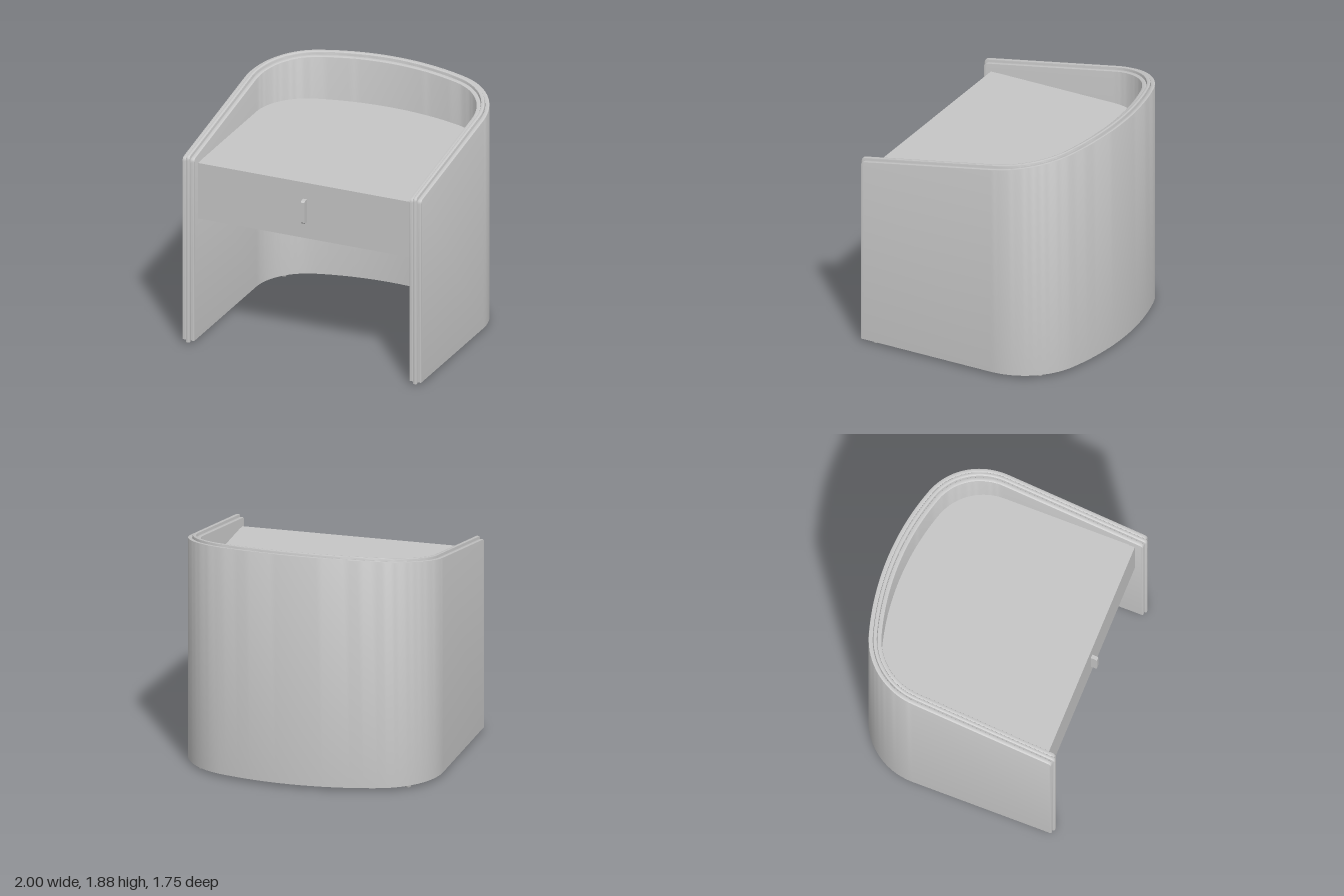
import * as THREE from 'three';
import { toCreasedNormals } from 'three/addons/utils/BufferGeometryUtils.js';

const BASE = 0.025;            // underside of the shell
const CORNER = 0.53, BACK = 2.155, BEND = 1.277; // plan radii and corner angle
const CX = 1 - CORNER, CZ = -0.28;
const BACK_Z = CZ + (BACK - CORNER) * Math.sin(BEND);
const topAt = (z) => 1.533 + (0.86 - z) * 0.19;

// Plan stations: each gives [x, z] at a depth d inside the outer face
function planStations(frontZ) {
  const right = [];
  for (const t of [0, 0.003, 0.008, 0.016, 0.02, 0.021, 0.03]) {
    right.push({ t, at: (d) => [1 - d, frontZ - t] });
  }
  for (let i = 0; i <= 20; i++) {
    const a = (BEND * i) / 20;
    right.push({ t: 1, at: (d) => [CX + (CORNER - d) * Math.cos(a), CZ - (CORNER - d) * Math.sin(a)] });
  }
  for (let i = 1; i <= 12; i++) {
    const b = (Math.PI / 2 - BEND) * (1 - i / 12);
    right.push({ t: 1, at: (d) => [(BACK - d) * Math.sin(b), BACK_Z - (BACK - d) * Math.cos(b)] });
  }
  const left = right.slice(0, -1).reverse().map((s) => ({
    t: s.t,
    at: (d) => { const [x, z] = s.at(d); return [-x, z]; },
  }));
  return [...right, ...left];
}

// One layer of the curved shell, with a sloping rounded top and rounded front ends
function shellLayer(d0, d1, frontZ, raise, round, lip) {
  const R = 0.03;
  const rings = planStations(frontZ).map(({ t, at }) => {
    const drop = t < R ? R - Math.sqrt(R * R - (R - t) ** 2) : 0;
    const inset = t < round ? round - Math.sqrt(round * round - (round - t) ** 2) : 0;
    const a = d0 + inset, b = d1 - inset;
    const low = t <= 0.02 ? BASE - lip : BASE;
    const section = [
      [a, null], [a, round], [a + round * 0.3, round * 0.3], [a + round, 0],
      [b - round, 0], [b - round * 0.3, round * 0.3], [b, round], [b, null],
    ];
    return section.map(([d, down]) => {
      const [x, z] = at(d);
      return [x, down === null ? low : topAt(z) + raise - drop - down, z];
    });
  });
  const pos = [];
  const tri = (...points) => points.forEach((p) => pos.push(...p));
  const n = rings[0].length;
  for (let i = 0; i < rings.length - 1; i++) {
    for (let j = 0; j < n; j++) {
      const k = (j + 1) % n;
      const [p, q] = [rings[i], rings[i + 1]];
      tri(p[j], q[j], p[k]);
      tri(q[j], q[k], p[k]);
    }
  }
  const last = rings[rings.length - 1];
  for (let j = 1; j < n - 1; j++) {
    tri(rings[0][0], rings[0][j], rings[0][j + 1]);
    tri(last[0], last[j + 1], last[j]);
  }
  const geo = new THREE.BufferGeometry();
  geo.setAttribute('position', new THREE.Float32BufferAttribute(pos, 3));
  return toCreasedNormals(geo, 0.5);
}

export function createModel() {
  const group = new THREE.Group();
  const grey = new THREE.MeshStandardMaterial({ color: 0xc6c6c6 });
  grey.name = 'pale grey';
  const add = (name, geo, x = 0, y = 0, z = 0) => {
    const mesh = new THREE.Mesh(geo, grey);
    mesh.name = name;
    mesh.position.set(x, y, z);
    group.add(mesh);
    return mesh;
  };

  // Wraparound shell: two panels with a raised bead between them
  add('outerShell', shellLayer(0, 0.034, 0.856, 0, 0.006, 0));
  add('shellBead', shellLayer(0.034, 0.066, 0.871, 0.021, 0.01, 0.014));
  add('innerShell', shellLayer(0.066, 0.1, 0.856, 0, 0.006, 0));

  // Seat body filling the inside of the shell
  const outline = planStations(0.74)
    .filter((s) => s.t === 0 || s.t === 1)
    .map((s) => { const [x, z] = s.at(0.099); return new THREE.Vector2(x, -z); });
  const seat = new THREE.ExtrudeGeometry(new THREE.Shape(outline), { depth: 0.46, bevelEnabled: false });
  seat.rotateX(-Math.PI / 2);
  add('seatBody', toCreasedNormals(seat, 0.5), 0, 1.02, 0);

  // Drawer front and its pull
  add('drawerFront', new THREE.BoxGeometry(1.794, 0.46, 0.05), 0, 1.25, 0.765);
  const c = 0.013;
  const profile = new THREE.Shape([
    [0, -0.095], [0.05 - c, -0.095], [0.05, -0.095 + c],
    [0.05, 0.095 - c], [0.05 - c, 0.095], [0, 0.095],
  ].map(([x, y]) => new THREE.Vector2(x, y)));
  const pull = new THREE.ExtrudeGeometry(profile, { depth: 0.03, bevelEnabled: false });
  pull.translate(0, 0, -0.015);
  pull.rotateY(-Math.PI / 2);
  add('drawerPull', pull, 0, 1.25, 0.79);

  // Small glides under the shell
  const glide = new THREE.CylinderGeometry(0.028, 0.02, 0.027, 20);
  for (const side of [-1, 1]) {
    add('frontGlide', glide, side * 0.95, 0.0135, 0.75);
    add('backGlide', glide, side * 0.82, 0.0135, -0.61);
  }
  return group;
}
